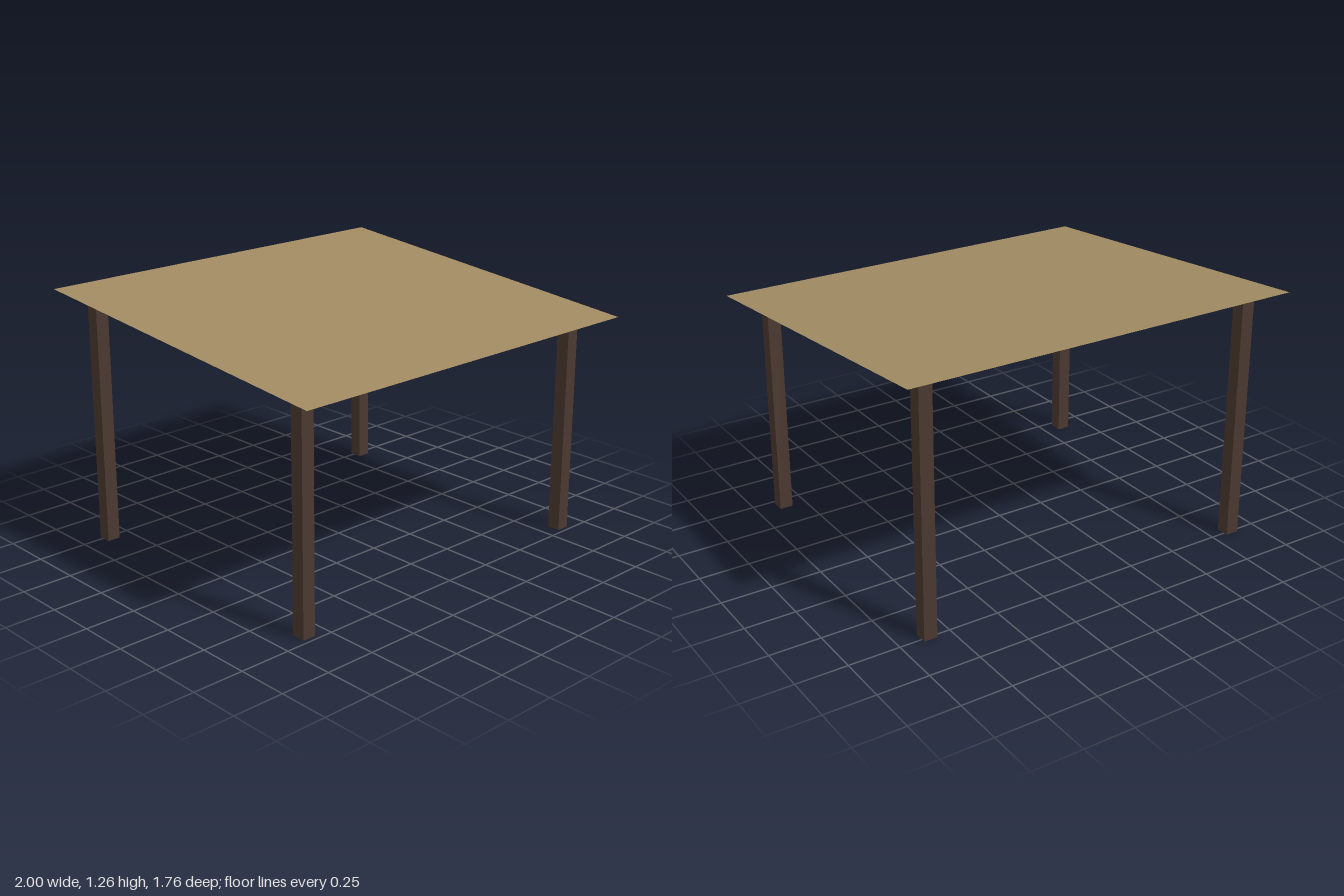
import * as THREE from 'three';

export function createModel() {
  const model = new THREE.Group();
  model.name = 'canopy';

  const canvas = new THREE.MeshStandardMaterial({ color: 0xa08a61, side: THREE.DoubleSide });
  canvas.name = 'tan roof';
  const wood = new THREE.MeshStandardMaterial({ color: 0x4a3830 });
  wood.name = 'dark wood';

  // Thin roof sheet, sloping down from back to front
  const depth = 1.76, low = 1.1, high = 1.26;
  const sheet = new THREE.PlaneGeometry(2, Math.hypot(depth, high - low));
  sheet.rotateX(-Math.PI / 2 + Math.atan2(high - low, depth));
  const roof = new THREE.Mesh(sheet, canvas);
  roof.name = 'roof';
  roof.position.y = (low + high) / 2;
  model.add(roof);

  // Four square posts, the back pair taller
  const rows = [
    { name: 'front', z: 0.693, height: 1.098 },
    { name: 'back', z: -0.737, height: 1.24 },
  ];
  for (const { name, z, height } of rows) {
    for (const side of [-1, 1]) {
      const post = new THREE.Mesh(new THREE.BoxGeometry(0.066, height, 0.066), wood);
      post.name = name + (side > 0 ? 'LeftPost' : 'RightPost');
      post.position.set(side * 0.857, height / 2, z);
      model.add(post);
    }
  }

  return model;
}
